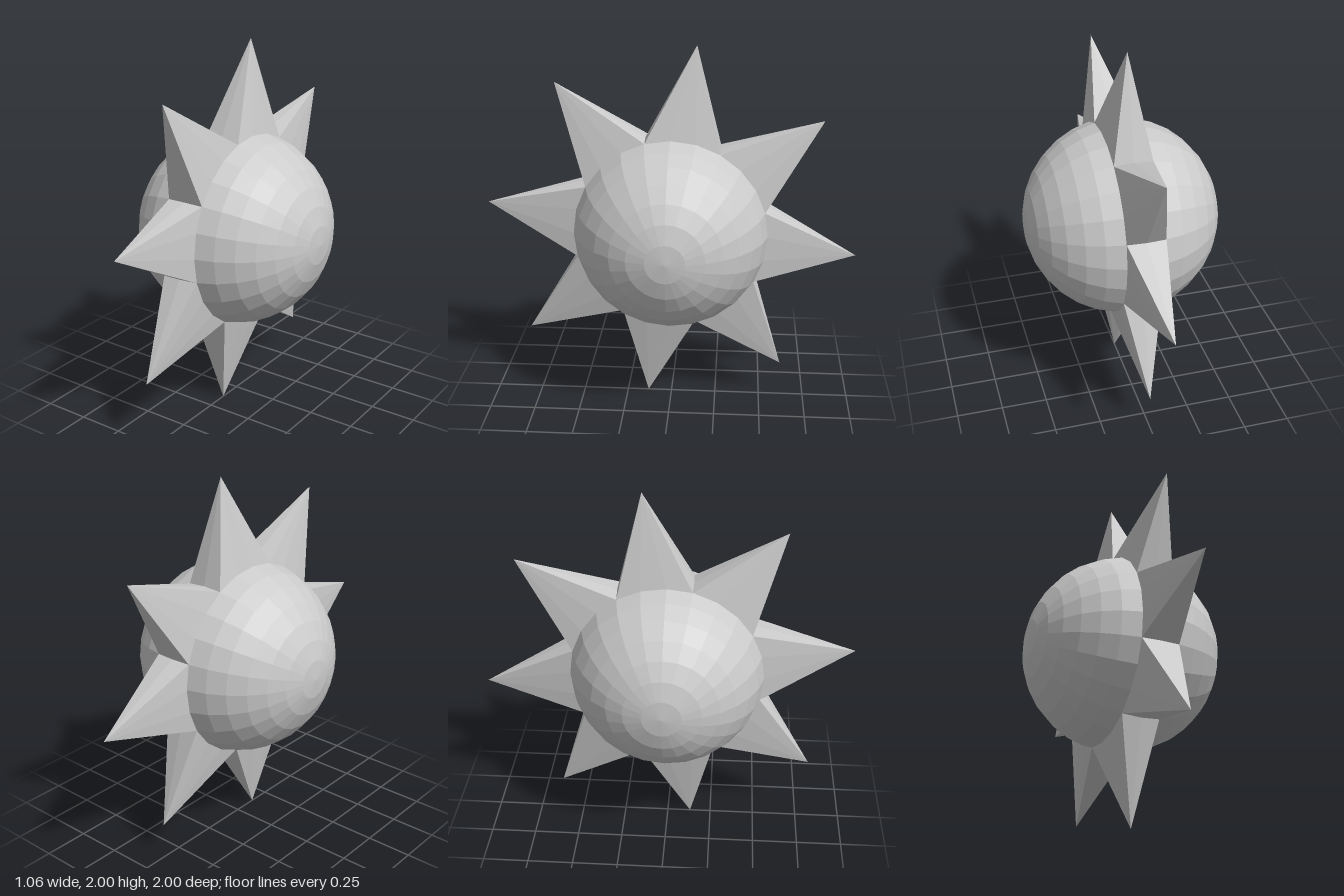
import * as THREE from 'three';

const R = 0.53;            // ball radius
const TIP = 1.008;         // distance of a spike tip from the centre
const ROWS = 16, COLS = 24;
const LAT = Math.PI / ROWS, STEP = (Math.PI * 2) / COLS;

// Point on the ball: row counted from the equator towards +x, col around the x axis
function ballPoint(row, col) {
  const r = R * Math.cos(row * LAT);
  return [R * Math.sin(row * LAT), r * Math.cos(col * STEP), r * Math.sin(col * STEP)];
}

// Spike drawn out of a patch of the ball, two rows by three columns
function spikeGeometry() {
  const base = [
    [-1, 1.5], [0, 1.5], [1, 1.5], [1, 0.5], [1, -0.5],
    [1, -1.5], [0, -1.5], [-1, -1.5], [-1, -0.5], [-1, 0.5],
  ].map(([row, col]) => ballPoint(row, col));
  const positions = [];
  base.forEach((p, i) => positions.push(...p, ...base[(i + 1) % base.length], 0, TIP, 0));
  const geometry = new THREE.BufferGeometry();
  geometry.setAttribute('position', new THREE.Float32BufferAttribute(positions, 3));
  geometry.computeVertexNormals();
  return geometry;
}

export function createModel() {
  const group = new THREE.Group();
  group.name = 'spikedBall';
  const material = new THREE.MeshStandardMaterial({ color: 0xcccccc, flatShading: true });

  // Faceted ball with its poles on the x axis
  const ball = new THREE.Mesh(new THREE.SphereGeometry(R, COLS, ROWS).rotateZ(Math.PI / 2), material);
  ball.name = 'ball';
  ball.position.y = 1;
  group.add(ball);

  // Ring of eight spikes around the equator
  const geometry = spikeGeometry();
  for (let i = 0; i < 8; i++) {
    const spike = new THREE.Mesh(geometry, material);
    spike.name = `spike${i + 1}`;
    spike.position.y = 1;
    spike.rotation.x = (i * Math.PI) / 4 - STEP / 2;
    group.add(spike);
  }
  return group;
}
